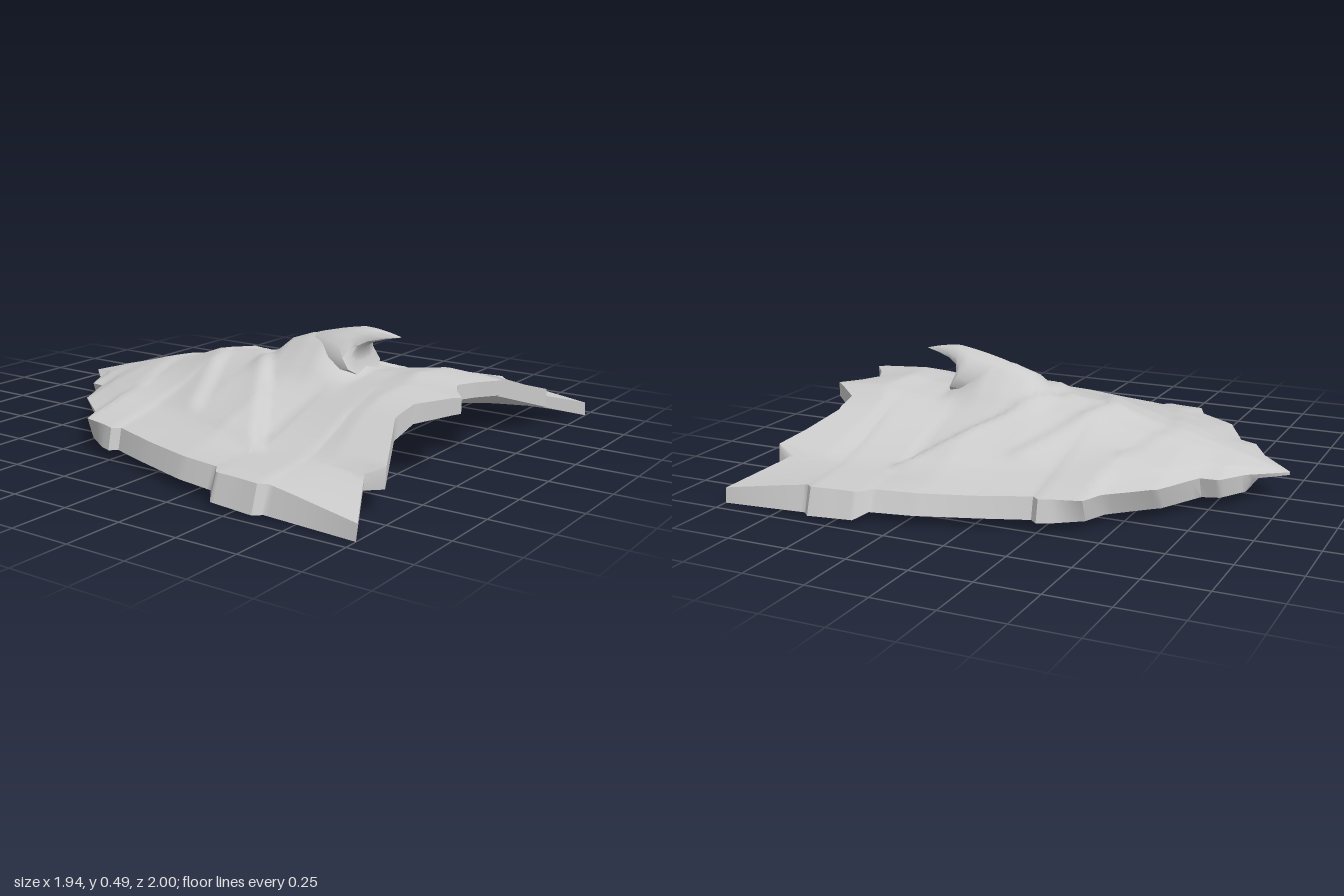
import * as THREE from 'three';
import { toCreasedNormals } from 'three/addons/utils/BufferGeometryUtils.js';

// Piecewise linear lookup through [position, value] pairs
function lerpTable(table, p) {
  if (p <= table[0][0]) return table[0][1];
  for (let i = 1; i < table.length; i++) {
    const [p0, v0] = table[i - 1], [p1, v1] = table[i];
    if (p <= p1) return v0 + (v1 - v0) * (p - p0) / (p1 - p0);
  }
  return table[table.length - 1][1];
}

// Half width of the outline along z, with the shoulder notches
const outline = [[-1, 0.004], [-0.86, 0.14], [-0.79, 0.26], [-0.72, 0.28], [-0.62, 0.48], [-0.45, 0.61],
  [-0.41, 0.7], [-0.25, 0.755], [-0.22, 0.73], [-0.05, 0.79], [0.2, 0.87], [0.37, 0.9], [0.41, 0.955],
  [0.6, 0.97], [0.63, 0.94], [1, 0.94]];

// Rim lean: the top edge is set in at the front, the bottom edge at the back
const topInset = [[-0.42, 1], [-0.3, 0.975], [0.5, 0.96], [0.7, 0.97], [1, 0.99]];
const bottomInset = [[-0.6, 0.9], [-0.42, 0.95], [-0.3, 1]];

// Ragged front edge: z of the edge for each distance from the middle
const frontEdge = [[0, 0.86], [0.08, 0.9], [0.165, 0.965], [0.28, 0.83], [0.4, 0.82], [0.66, 0.94],
  [0.69, 0.87], [0.94, 1]];

// Upper surface: heights at fractions of the half width, for stations along z
const fractions = [0, 0.2, 0.4, 0.58, 0.7, 0.74, 1];
const sections = [
  [-1, [0.11, 0.11, 0.11, 0.11, 0.11, 0.11, 0.11]],
  [-0.8, [0.165, 0.16, 0.155, 0.15, 0.14, 0.138, 0.125]],
  [-0.6, [0.21, 0.205, 0.19, 0.175, 0.165, 0.16, 0.135]],
  [-0.4, [0.25, 0.235, 0.205, 0.19, 0.18, 0.175, 0.13]],
  [-0.2, [0.3, 0.275, 0.22, 0.185, 0.165, 0.16, 0.125]],
  [0, [0.3, 0.28, 0.24, 0.2, 0.17, 0.16, 0.12]],
  [0.2, [0.31, 0.285, 0.24, 0.2, 0.175, 0.16, 0.12]],
  [0.4, [0.31, 0.28, 0.225, 0.17, 0.14, 0.135, 0.12]],
  [0.6, [0.32, 0.305, 0.25, 0.18, 0.145, 0.14, 0.12]],
  [0.74, [0.34, 0.325, 0.265, 0.2, 0.158, 0.14, 0.1]],
  [1, [0.31, 0.31, 0.27, 0.205, 0.17, 0.13, 0.06]],
];

// Overlapping chevron plates: apex z, sweep, reach in x, step height
const plates = [[0, 0.64, 0.66, 0.045], [-0.22, 0.45, 0.5, 0.03], [-0.5, 0.3, 0.37, 0.018]];

// Hump under the crest: ridge height along z, and its fall to the sides
const humpRidge = [[-0.02, 0], [0.05, 0.055], [0.1, 0.095], [0.2, 0.125], [0.3, 0.14], [0.36, 0.1], [0.47, 0]];
const humpSide = [[0, 1], [0.05, 0.92], [0.12, 0.55], [0.2, 0.12], [0.26, 0]];

// Underside: rim height, and the arch rising to the middle in steps
const rimBottom = [[-1, 0.1], [-0.88, 0.1], [-0.86, 0.05], [-0.25, 0.04], [0.37, 0.04], [0.41, 0.02],
  [0.6, 0.015], [1, 0]];
const archTop = [[-1, 0.1], [-0.88, 0.1], [-0.86, 0.05], [-0.25, 0.055], [-0.2, 0.075], [0.4, 0.11],
  [0.55, 0.125], [1, 0.25]];
const archShape = [[0, 1], [0.18, 1], [0.45, 0.68], [0.7, 0.36], [1, 0]];

function topHeight(u, x, z) {
  let y = lerpTable(sections.map(([s, h]) => [s, lerpTable(fractions.map((f, i) => [f, h[i]]), u)]), z);
  for (const [apex, sweep, reach, step] of plates) {
    const d = apex + sweep * x - z;
    if (d > 0) {
      const fade = 1 - THREE.MathUtils.smoothstep(x, reach - 0.03, reach + 0.04);
      y += step * THREE.MathUtils.smoothstep(d, -0.02, 0.07) * Math.exp(-d / 0.16) * fade;
    }
  }
  return y + lerpTable(humpRidge, z) * lerpTable(humpSide, x);
}

function bottomHeight(u, z) {
  const rim = lerpTable(rimBottom, z);
  return rim + (lerpTable(archTop, z) - rim) * lerpTable(archShape, u);
}

const uniqueSorted = (list) => [...new Set(list.map((v) => +v.toFixed(4) + 0))].sort((a, b) => a - b);

function buildGeometry(positions, index, crease) {
  const g = new THREE.BufferGeometry();
  g.setAttribute('position', new THREE.Float32BufferAttribute(positions, 3));
  g.setIndex(index);
  return toCreasedNormals(g, crease);
}

// Closed shell: plated top, arched underside, rim walls and thick front edge
function shellGeometry() {
  const rows = [...outline, ...rimBottom].map((o) => o[0]);
  for (let i = 0; i <= 80; i++) rows.push(-1 + i * 0.025);
  const half = [...fractions, ...frontEdge.map((e) => e[0] / 0.94)];
  for (let i = 0; i <= 30; i++) half.push(i / 30);
  const zs = uniqueSorted(rows), us = uniqueSorted([...half, ...half.map((u) => -u)]);
  const n = us.length, offset = n * zs.length, top = [], bottom = [], index = [];
  for (const z of zs) {
    const w = lerpTable(outline, z);
    for (const u of us) {
      const a = Math.abs(u), x = u * w, xTop = x * lerpTable(topInset, z);
      const zz = z > 0.6 ? 0.6 + (z - 0.6) * (lerpTable(frontEdge, Math.abs(x)) - 0.6) / 0.4 : z;
      const low = bottomHeight(a, z);
      top.push(xTop, topHeight(a, Math.abs(xTop), z), zz);
      bottom.push(x * lerpTable(bottomInset, z), low, zz);
    }
  }
  for (let r = 0; r < zs.length - 1; r++) {
    for (let i = 0; i < n - 1; i++) {
      const a = r * n + i, b = a + 1, c = a + n, d = c + 1;
      index.push(a, c, b, b, c, d);
      index.push(offset + a, offset + b, offset + c, offset + b, offset + d, offset + c);
    }
    // Rim walls on both sides
    const p = r * n, q = p + n, s = p + n - 1, t = s + n;
    index.push(p, p + offset, q, q, p + offset, q + offset);
    index.push(s, t, s + offset, t, t + offset, s + offset);
  }
  for (let i = 0; i < n - 1; i++) {
    const a = (zs.length - 1) * n + i, b = a + offset;
    index.push(a, b, b + 1, a, b + 1, a + 1);
  }
  return buildGeometry([...top, ...bottom], index, 0.8);
}

// Hooked crest: rings of [top z, top y, bottom z, bottom y, half width]
function crestGeometry() {
  const rings = [[0.16, 0.42, 0.2, 0.3, 0.04], [0.25, 0.448, 0.34, 0.29, 0.1], [0.34, 0.47, 0.47, 0.3, 0.12],
    [0.4, 0.482, 0.44, 0.35, 0.085], [0.45, 0.49, 0.44, 0.4, 0.06], [0.5, 0.487, 0.48, 0.428, 0.042],
    [0.56, 0.477, 0.55, 0.45, 0.02], [0.61, 0.465, 0.61, 0.463, 0.002]];
  const side = [[0, 0], [0.1, 0.45], [0.3, 0.75], [0.55, 0.95], [0.8, 1], [0.95, 0.65], [1, 0]];
  const loop = [...side, ...side.slice(1, -1).reverse().map(([t, x]) => [t, -x])];
  const n = loop.length, positions = [], index = [];
  for (const [zt, yt, zb, yb, w] of rings) {
    for (const [t, x] of loop) positions.push(x * w, yt + (yb - yt) * t, zt + (zb - zt) * t);
  }
  for (let r = 0; r < rings.length - 1; r++) {
    for (let i = 0; i < n; i++) {
      const a = r * n + i, b = r * n + (i + 1) % n;
      index.push(a, b, a + n, b, b + n, a + n);
    }
  }
  // Sides wind clockwise from the front, so reverse to face outward
  return buildGeometry(positions, index.reverse(), 1);
}

export function createModel() {
  const group = new THREE.Group();
  group.name = 'platedShell';
  const material = new THREE.MeshStandardMaterial({ color: 0xcccccc, side: THREE.DoubleSide });
  const add = (name, geometry) => {
    const mesh = new THREE.Mesh(geometry, material);
    mesh.name = name;
    group.add(mesh);
  };
  add('shell', shellGeometry());
  add('hookedCrest', crestGeometry());
  return group;
}
